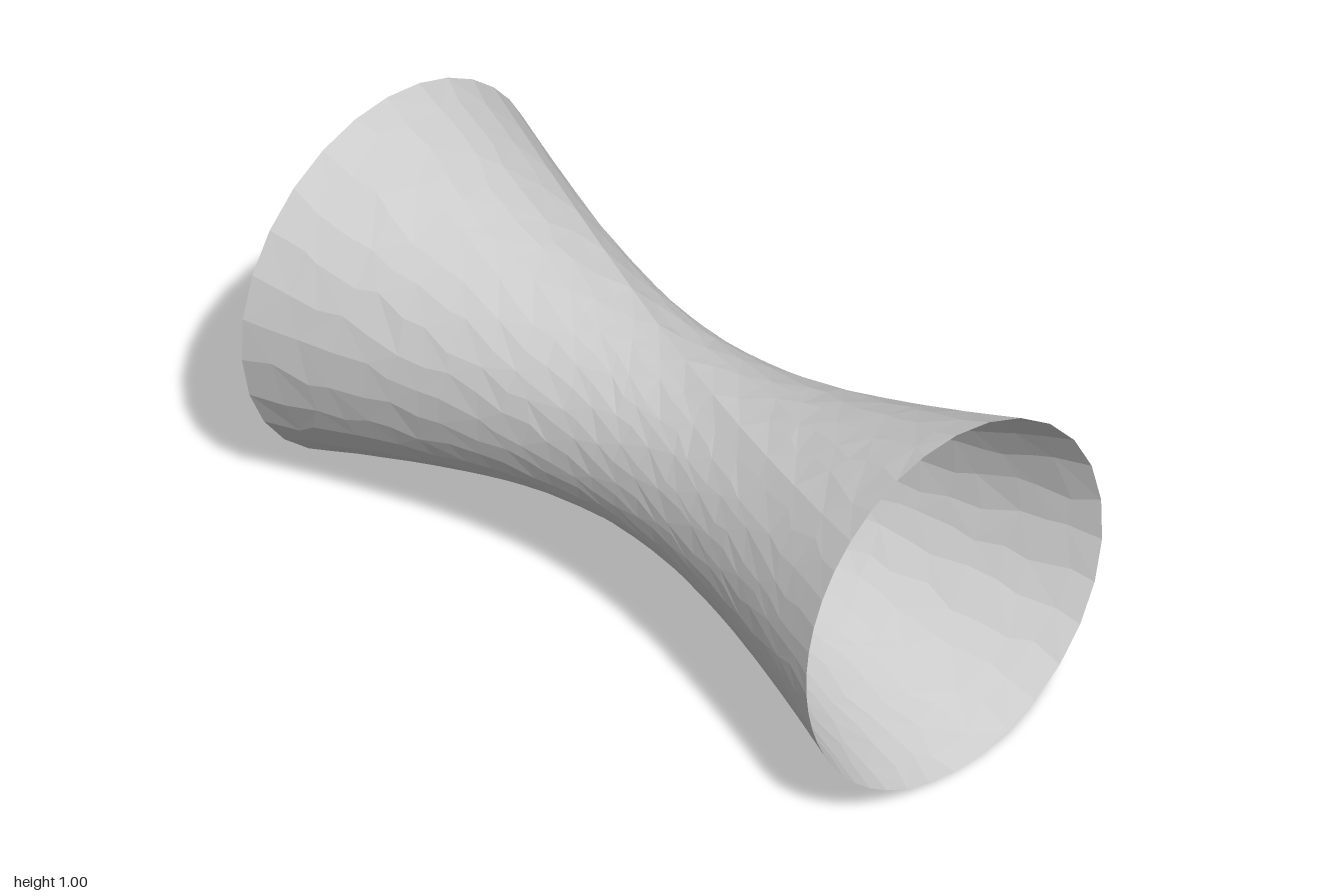
import * as THREE from 'three';

const SIDES = 36, ROWS = 26;
const WAIST = 0.262, RIM = 0.5;

// Small seeded noise in -1..1
function makeNoise(seed) {
  return () => {
    seed = (seed * 16807) % 2147483647;
    return (seed / 2147483647) * 2 - 1;
  };
}

// Hyperbolic profile: radius at a distance x from the waist
const radiusAt = (x) => Math.sqrt(WAIST ** 2 + (RIM ** 2 - WAIST ** 2) * x * x);

export function createModel() {
  const group = new THREE.Group();
  group.name = 'hyperboloid';
  const noise = makeNoise(77);
  const positions = [], indices = [];

  // Rings of points along x; facets are slightly irregular away from the rims
  for (let i = 0; i <= ROWS; i++) {
    const rim = i === 0 || i === ROWS;
    for (let j = 0; j < SIDES; j++) {
      const seam = j === 0;
      const loose = rim || seam ? 0 : 1;
      const x = -1 + (2 * i) / ROWS + loose * noise() * 0.022;
      const base = (j / SIDES) * Math.PI * 2;
      // Columns near the top lean along the straight diagonal seam
      const lean = Math.asin((0.35 * x) / radiusAt(x)) * Math.cos(base / 2) ** 2;
      const angle = base + lean + loose * noise() * 0.045;
      const r = radiusAt(x) + (seam ? 0.011 * (1 - x * x) : 0);
      positions.push(x, 0.5 + r * Math.cos(angle), r * Math.sin(angle));
    }
  }

  // Join neighbouring rings, alternating the diagonals
  for (let i = 0; i < ROWS; i++) {
    for (let j = 0; j < SIDES; j++) {
      const k = (j + 1) % SIDES;
      const a = i * SIDES + j, b = i * SIDES + k;
      const c = a + SIDES, d = b + SIDES;
      if ((i + j) % 2) indices.push(a, b, c, b, d, c);
      else indices.push(a, b, d, a, d, c);
    }
  }

  const geometry = new THREE.BufferGeometry();
  geometry.setAttribute('position', new THREE.Float32BufferAttribute(positions, 3));
  geometry.setIndex(indices);
  geometry.computeVertexNormals();

  // Thin open shell
  const shell = new THREE.Mesh(geometry, new THREE.MeshStandardMaterial({
    color: 0xcccccc, flatShading: true, side: THREE.DoubleSide,
  }));
  shell.name = 'flaredShell';
  group.add(shell);
  return group;
}
